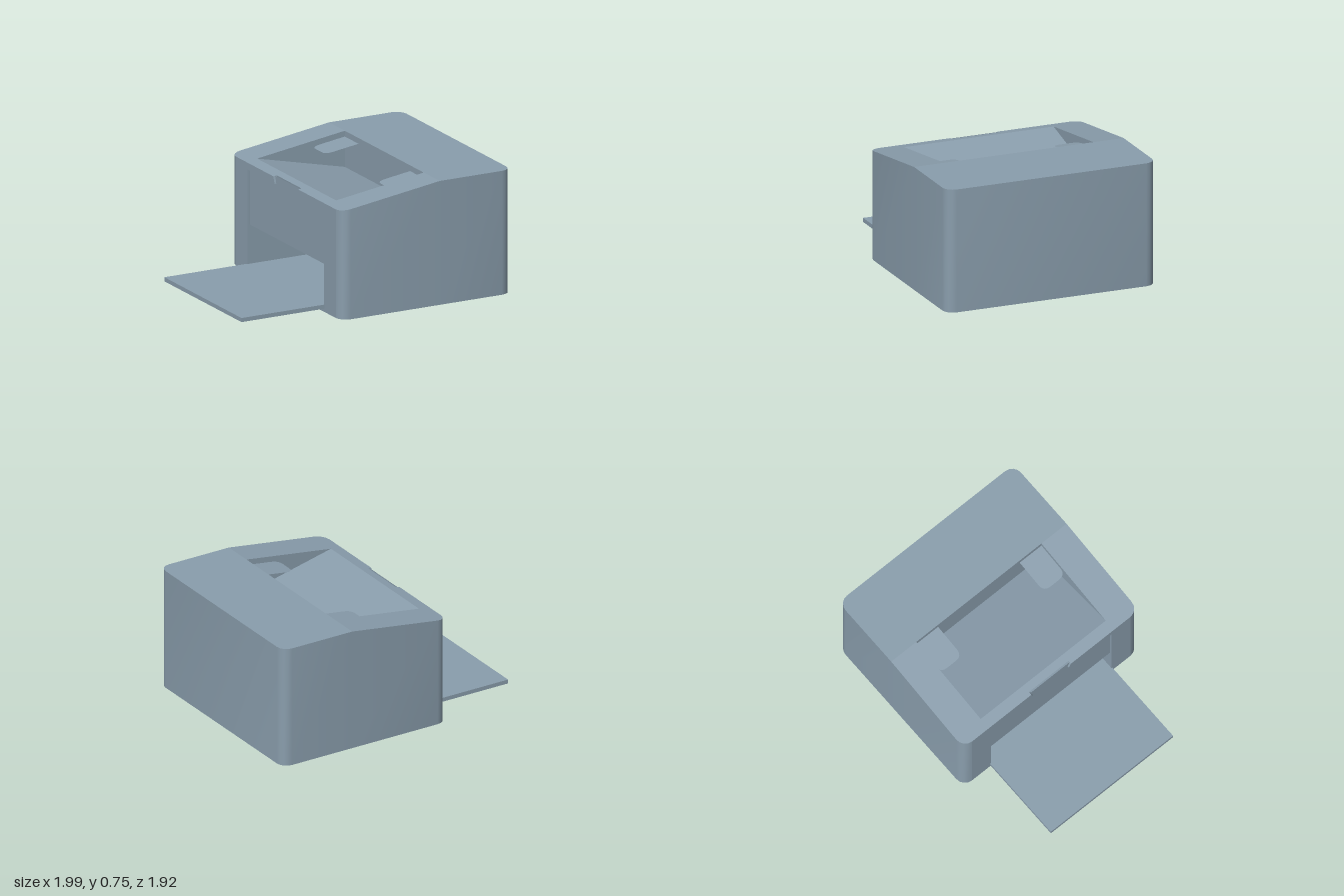
import * as THREE from 'three';
import { toCreasedNormals } from 'three/addons/utils/BufferGeometryUtils.js';

const mat = new THREE.MeshStandardMaterial({ color: 0x8a9ead, side: THREE.DoubleSide });

// Local frame: x across the machine, z towards its paper tray
const MID = 0.012, HALF = 0.666, FRONT = 0.37, BACK = -0.766, R = 0.065;
const RIDGE = -0.286, TOP = 0.755, LIP = 0.662;
const SLOPE = (TOP - LIP) / (FRONT - RIDGE);
const topY = z => (z <= RIDGE ? TOP : TOP - (z - RIDGE) * SLOPE);

export function createModel() {
  const model = new THREE.Group();
  const body = new THREE.Group();
  body.name = 'printer';
  body.rotation.y = THREE.MathUtils.degToRad(-50);
  model.add(body);

  function add(name, geo) {
    const mesh = new THREE.Mesh(geo, mat);
    mesh.name = name;
    body.add(mesh);
    return mesh;
  }
  // Flat polygon of 2D points, placed in space by a rule
  function sheet(name, pts, place) {
    const geo = new THREE.ShapeGeometry(new THREE.Shape(pts.map(p => new THREE.Vector2(...p))));
    const pos = geo.attributes.position;
    for (let i = 0; i < pos.count; i++) pos.setXYZ(i, ...place(pos.getX(i), pos.getY(i)));
    geo.computeVertexNormals();
    return add(name, geo);
  }
  const onTop = (x, z) => [MID + x, topY(z), z];
  const upright = z => (x, y) => [MID + x, y, z];

  // Rounded corner points, angle in quarter turns
  const arc = (cx, cz, q) => Array.from({ length: 5 }, (_, i) => {
    const a = (q + i / 4) * Math.PI / 2;
    return [cx + R * Math.cos(a), cz + R * Math.sin(a)];
  });
  const ix = HALF - R, fz = FRONT - R, bz = BACK + R;
  const frontLeft = arc(ix, fz, 0), frontRight = arc(-ix, fz, 1);
  const backRight = arc(-ix, bz, 2), backLeft = arc(ix, bz, 3);

  // Side and back walls, following the sloped top edge
  const line = [...frontRight, [-HALF, RIDGE], ...backRight, ...backLeft, [HALF, RIDGE], ...frontLeft];
  const verts = [], index = [];
  line.forEach(([x, z], i) => {
    verts.push(MID + x, 0, z, MID + x, topY(z), z);
    if (i) {
      const a = 2 * (i - 1);
      index.push(a, a + 1, a + 2, a + 1, a + 3, a + 2);
    }
  });
  const wall = new THREE.BufferGeometry();
  wall.setAttribute('position', new THREE.Float32BufferAttribute(verts, 3));
  wall.setIndex(index);
  add('sideAndBackWalls', toCreasedNormals(wall, 0.6));

  // Front wall with the door opening and the grip notch above it
  const OW = 0.458, OB = 0.02, OT = 0.62, N = 0.15, N2 = 0.135;
  sheet('frontWall', [
    [-ix, 0], [ix, 0], [ix, LIP], [N, LIP], [N2, OT], [OW, OT], [OW, OB],
    [-OW, OB], [-OW, OT], [-N2, OT], [-N, LIP], [-ix, LIP],
  ], upright(FRONT));

  // Top: flat rear part, then the sloped part around the recess
  sheet('rearTop', [[-HALF, RIDGE], ...backRight, ...backLeft, [HALF, RIDGE]], onTop);
  const RW = 0.475, RF = 0.298, DOOR = 0.358, CUT = 0.348;
  sheet('slopedTop', [
    [HALF, RIDGE], ...frontLeft, [N, FRONT], [N, CUT], [-N, CUT], [-N, FRONT], ...frontRight,
    [-HALF, RIDGE], [-RW, RIDGE], [-RW, RF], [RW, RF], [RW, RIDGE],
  ], onTop);

  // Output recess: floor falling to the rear, rear wall, triangular cheeks
  const deep = 0.535;
  const floorY = z => deep + (z - RIDGE) / (RF - RIDGE) * (topY(RF) - deep);
  sheet('recessFloor', [[-RW, RIDGE], [RW, RIDGE], [RW, RF], [-RW, RF]], (x, z) => [MID + x, floorY(z), z]);
  sheet('recessRearWall', [[-RW, deep], [RW, deep], [RW, TOP], [-RW, TOP]], upright(RIDGE));

  for (const s of [-1, 1]) {
    sheet('recessCheek', [[RIDGE, deep], [RF, topY(RF)], [RIDGE, TOP]], (z, y) => [MID + s * RW, y, z]);

    // Rounded paper shelf in the rear corner of the recess
    const tab = new THREE.Shape();
    const w = 0.165, l = 0.22, r = 0.05;
    tab.moveTo(0, 0);
    tab.lineTo(w, 0);
    tab.lineTo(w, l - r);
    tab.quadraticCurveTo(w, l, w - r, l);
    tab.lineTo(r, l);
    tab.quadraticCurveTo(0, l, 0, l - r);
    const points = tab.getPoints(6).map(p => [p.x, p.y]);
    sheet('paperShelf', points, (x, z) => [MID + s * (RW - x), topY(RIDGE + z) - 0.035, RIDGE + z]);

    // Side of the paper bay
    sheet('baySide', [
      [FRONT, OB], [FRONT, OT], [DOOR, OT], [DOOR, 0.285], [-0.24, 0.2], [-0.24, OB],
    ], (z, y) => [MID + s * OW, y, z]);
    // End of the grip notch
    sheet('notchEnd', [[CUT, 0], [FRONT, 0], [FRONT, 1], [CUT, 1]],
      (z, t) => [MID + s * (N2 + (N - N2) * t), OT + (topY(z) - OT) * t, z]);
  }

  // Door panel with its grip tongue, and the bay behind it
  sheet('door', [
    [-OW + 0.008, 0.285], [OW, 0.285], [OW, OT], [N2, OT], [N, topY(DOOR)],
    [-N, topY(DOOR)], [-N2, OT], [-OW + 0.008, OT],
  ], upright(DOOR));
  sheet('bayCeiling', [[-OW, -0.265], [OW, -0.265], [OW, DOOR], [-OW, DOOR]],
    (x, z) => [MID + x, 0.2 + (z + 0.24) / (DOOR + 0.24) * 0.085, z]);
  sheet('bayBackWall', [[-OW, OB], [OW, OB], [OW, 0.2], [-OW, 0.2]], upright(-0.24));

  // Paper tray running from the bay out of the front
  const tray = add('paperTray', new THREE.BoxGeometry(0.928, 0.025, 1.162));
  tray.position.set(MID, 0.0325, 0.341);

  return model;
}
